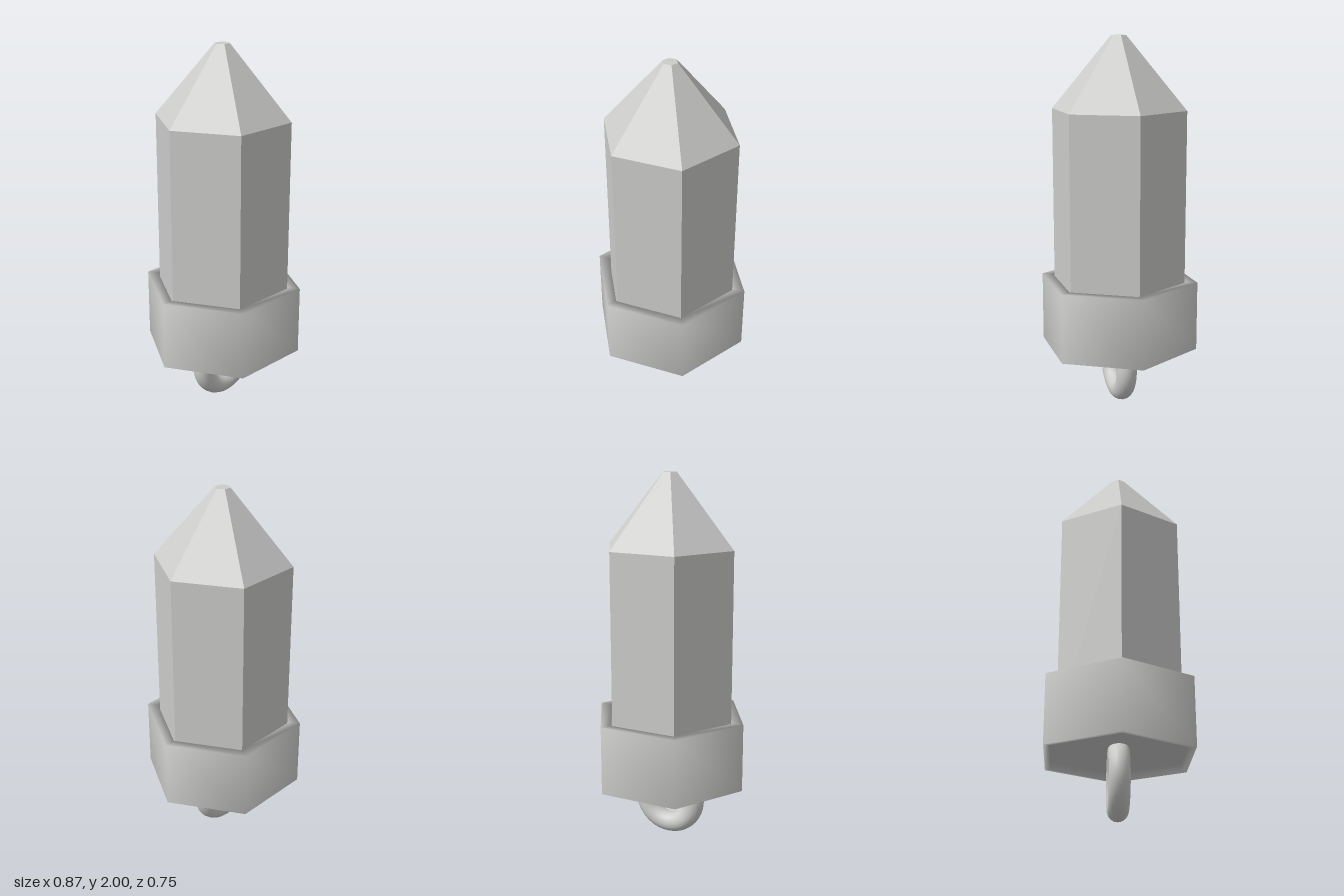
import * as THREE from 'three';

export function createModel() {
  const model = new THREE.Group();
  const grey = new THREE.MeshStandardMaterial({ color: 0xcccccb });
  grey.name = 'paleGrey';

  const add = (name, geometry, y = 0) => {
    const mesh = new THREE.Mesh(geometry, grey);
    mesh.name = name;
    mesh.position.y = y;
    model.add(mesh);
  };

  // Six-sided prism: corners point along x, facets are flat
  const hexPrism = (top, bottom, height, open) =>
    flat(new THREE.CylinderGeometry(top, bottom, height, 6, 1, open, Math.PI / 6));
  const flat = (geometry) => {
    const g = geometry.toNonIndexed();
    g.computeVertexNormals();
    return g;
  };

  // Crystal shaft, sunk into the cap, and its blunt point
  add('crystalShaft', hexPrism(0.365, 0.365, 1.215, true), 1.0075);
  add('crystalPoint', hexPrism(0.04, 0.365, 0.385, false), 1.8075);

  // Hollow hexagonal cap with a shallow recess underneath, softly shaded
  const profile = [
    [0, 0.36], [0.405, 0.36], [0.405, 0.32], [0.435, 0.32],
    [0.435, 0.695], [0.375, 0.695], [0.375, 0.4], [0, 0.4],
  ].map(([r, y]) => new THREE.Vector2(r, y));
  add('cap', new THREE.LatheGeometry(profile, 6, Math.PI / 6));

  // Hanging ring, its upper part set into the cap
  add('ring', new THREE.TorusGeometry(0.15, 0.055, 20, 48), 0.205);

  return model;
}
